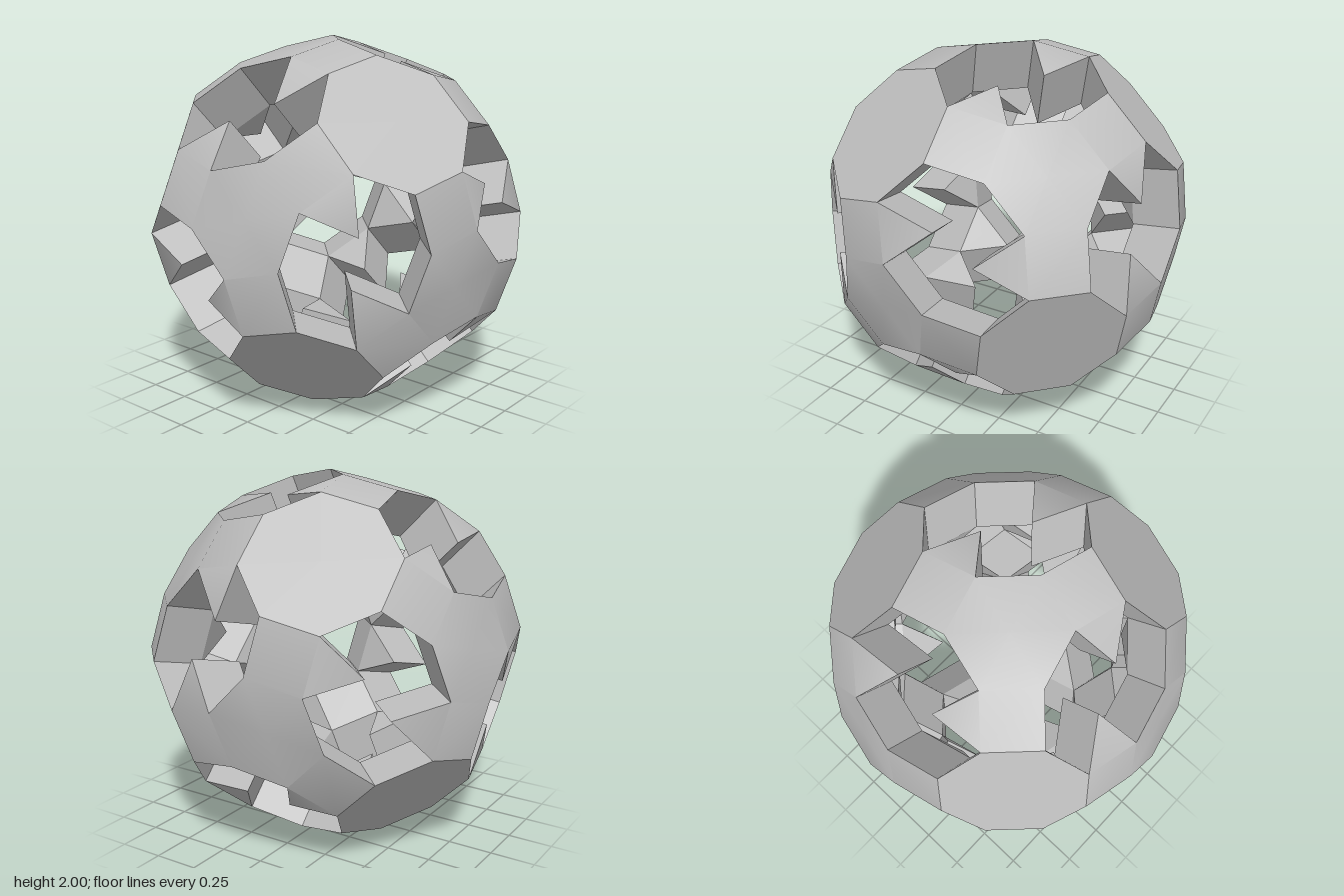
import * as THREE from 'three';
import { toCreasedNormals } from 'three/addons/utils/BufferGeometryUtils.js';

// A hollow ball of octagonal caps and corner plates with twelve twisted tunnels.
// Every edge is 2 long in local units; the 24 turns of a cube repeat one small set of faces.
const R = Math.SQRT2;
const STEP = 2 / Math.sqrt(3);
const w = 1 + STEP;               // inner corner offset
const D = w + 2 * R + STEP;       // distance of the octagonal caps
const SCALE = 3 / (5 * w + 6 * R);

const v = (x, y, z) => new THREE.Vector3(x, y, z);

// The 24 rotations of a cube
function cubeRotations() {
  const axes = [v(1, 0, 0), v(-1, 0, 0), v(0, 1, 0), v(0, -1, 0), v(0, 0, 1), v(0, 0, -1)];
  const out = [];
  for (const a of axes) {
    for (const b of axes) {
      if (a.dot(b) === 0) out.push(new THREE.Matrix4().makeBasis(a, b, a.clone().cross(b)));
    }
  }
  return out;
}

// Fan-triangulates a face so that it faces along hint
function face(hint, ...pts) {
  const n = pts[1].clone().sub(pts[0]).cross(pts[2].clone().sub(pts[0]));
  if (n.dot(hint) < 0) pts.reverse();
  const tris = [];
  for (let i = 1; i < pts.length - 1; i++) tris.push(pts[0], pts[i], pts[i + 1]);
  return tris;
}

// Repeats the faces through all rotations
function repeated(faces) {
  const pos = [];
  for (const m of cubeRotations()) {
    for (const p of faces.flat()) pos.push(...p.clone().applyMatrix4(m).toArray());
  }
  const geo = new THREE.BufferGeometry();
  geo.setAttribute('position', new THREE.Float32BufferAttribute(pos, 3));
  geo.computeVertexNormals();
  return geo;
}

export function createModel() {
  const group = new THREE.Group();
  group.name = 'tunnelledBall';
  const grey = new THREE.MeshStandardMaterial({ color: 0xbfbfbf });
  grey.name = 'grey';

  // Tilted placement of the cube axes
  const place = new THREE.Matrix4()
    .makeBasis(v(-2, 1, 2).divideScalar(3), v(1, -2, 2).divideScalar(3), v(2, 2, 1).divideScalar(3))
    .scale(v(SCALE, SCALE, SCALE))
    .setPosition(0, 1, 0);

  const add = (name, geo) => {
    geo.applyMatrix4(place);
    const mesh = new THREE.Mesh(geo, grey);
    mesh.name = name;
    group.add(mesh);
  };

  // Key points around one tunnel
  const inward = v(-R, 0, -R);
  const deeper = (p) => p.clone().add(inward);
  const capA = v(D, 1, 1 + R), capB = v(D, -1, 1 + R), capC = v(D, 1 + R, 1);
  const rimA = v(w + 2 * R, w, w + R), rimB = v(w + R, w, w + 2 * R);
  const rimC = v(w + 2 * R, w + R, w), rimD = v(w + 2 * R, -w, w + R);
  const tooth = capA.clone().add(rimA).multiplyScalar(0.5).add(v(-R / 2, -R, R / 2));
  const out = v(1, 1, 1);
  const hub = v(w + R, w + R, w + R);

  // Flat octagonal caps
  const capMid = v(D, 0, 0);
  add('octagonCaps', repeated([
    face(v(1, 0, 0), capMid, capA, capB),
    face(v(1, 0, 0), capMid, capA, capC),
  ]));

  // Softly shaded corner plates: hexagon, three squares and three teeth each
  add('cornerPlates', toCreasedNormals(repeated([
    face(out, hub, rimA, rimB),
    face(out, hub, rimA, rimC),
    face(out, capA, capC, rimC, rimA),
    face(v(1, 0, 1), capA, rimA, tooth),
  ]), THREE.MathUtils.degToRad(31)));

  // Square tunnel walls under the rim
  add('tunnelWalls', repeated([
    face(v(0, -1, 0), rimA, rimB, deeper(rimB), deeper(rimA)),
    face(v(-1, 0, 1), capA, capB, deeper(capB), deeper(capA)),
    face(v(-1, 2, 1), capB, rimD, deeper(rimD), deeper(capB)),
  ]));

  // Triangular prisms that narrow each tunnel
  const pastRim = rimA.clone().add(tooth).addScaledVector(capA, -2);
  add('tunnelPrisms', repeated([
    face(v(1, -3, -1), capA, tooth, deeper(tooth), deeper(capA)),
    face(pastRim, rimA, tooth, deeper(tooth), deeper(rimA)),
    face(inward, deeper(capA), deeper(rimA), deeper(tooth)),
  ]));

  // Inner squares behind the caps and inner triangles behind the corners
  const back = w + R / 3;
  add('innerFaces', repeated([
    face(v(-1, 0, 0), v(D - R, 0, 0), deeper(capA), deeper(capB)),
    face(v(-1, -1, -1), v(back, back, back), deeper(rimA), deeper(rimB)),
  ]));

  return group;
}
